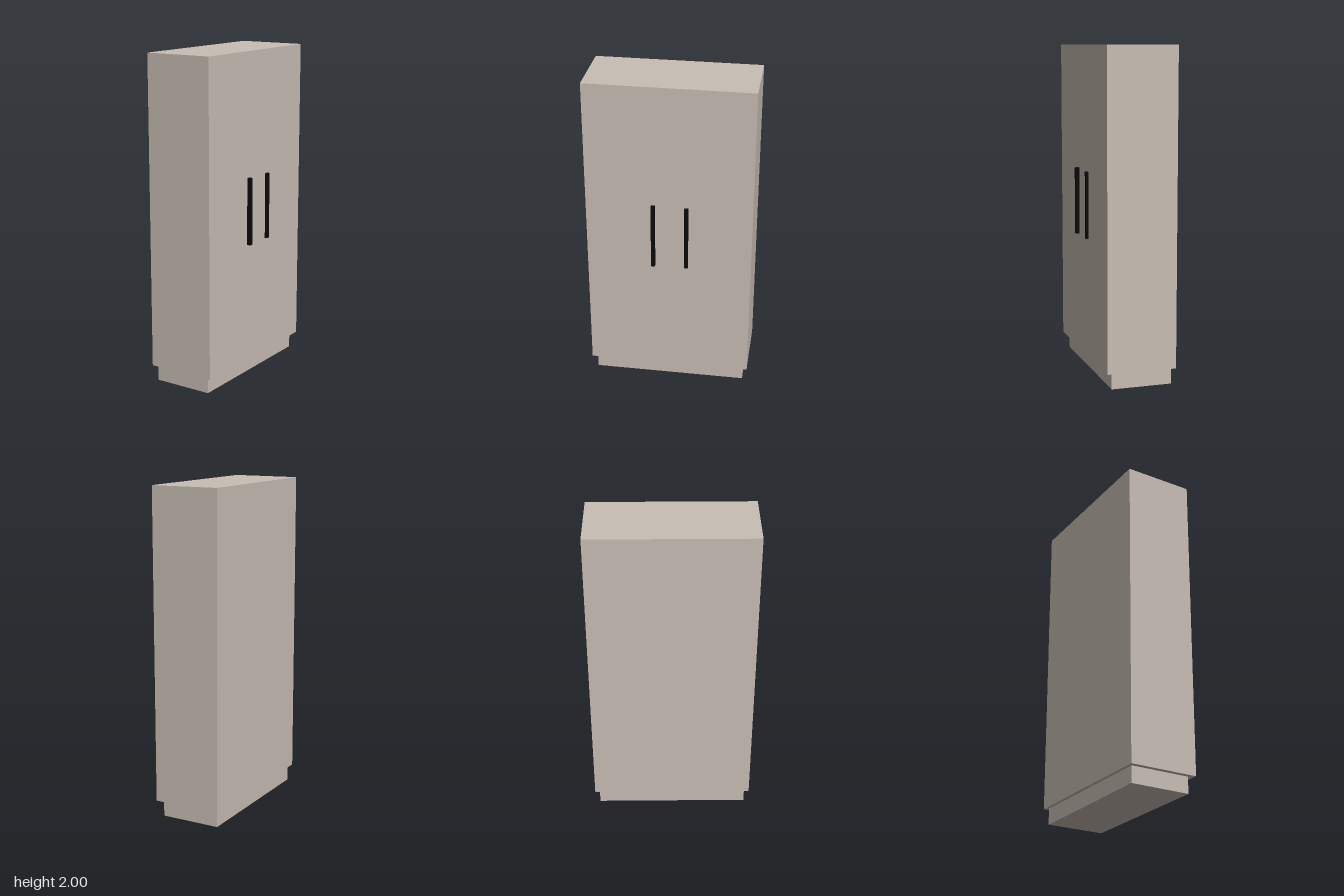
import * as THREE from 'three';

export function createModel() {
  const model = new THREE.Group();
  model.name = 'wardrobe';

  const panel = new THREE.MeshStandardMaterial({ color: 0xc8beb4 });
  panel.name = 'warm grey panel';
  const black = new THREE.MeshStandardMaterial({ color: 0x0a0a0a });
  black.name = 'black handle';

  // The whole cabinet stands turned by an eighth of a circle
  const cabinet = new THREE.Group();
  cabinet.name = 'cabinet';
  cabinet.rotation.y = Math.PI / 4;
  model.add(cabinet);

  // Box given by its size, its centre in x and z, and its bottom height
  function addBox(name, material, [w, h, d], [x, bottom, z]) {
    const mesh = new THREE.Mesh(new THREE.BoxGeometry(w, h, d), material);
    mesh.name = name;
    mesh.position.set(x, bottom + h / 2, z);
    cabinet.add(mesh);
  }

  // Body and recessed plinth, set back further at the front
  addBox('body', panel, [1.002, 1.9, 0.426], [0, 0.1, 0]);
  addBox('plinth', panel, [0.944, 0.1, 0.371], [0, 0, -0.0075]);

  // Door handles, the second sunk slightly into its door
  addBox('rightHandle', black, [0.023, 0.412, 0.023], [-0.093, 0.838, 0.225]);
  addBox('leftHandle', black, [0.023, 0.408, 0.023], [0.108, 0.838, 0.218]);

  return model;
}
